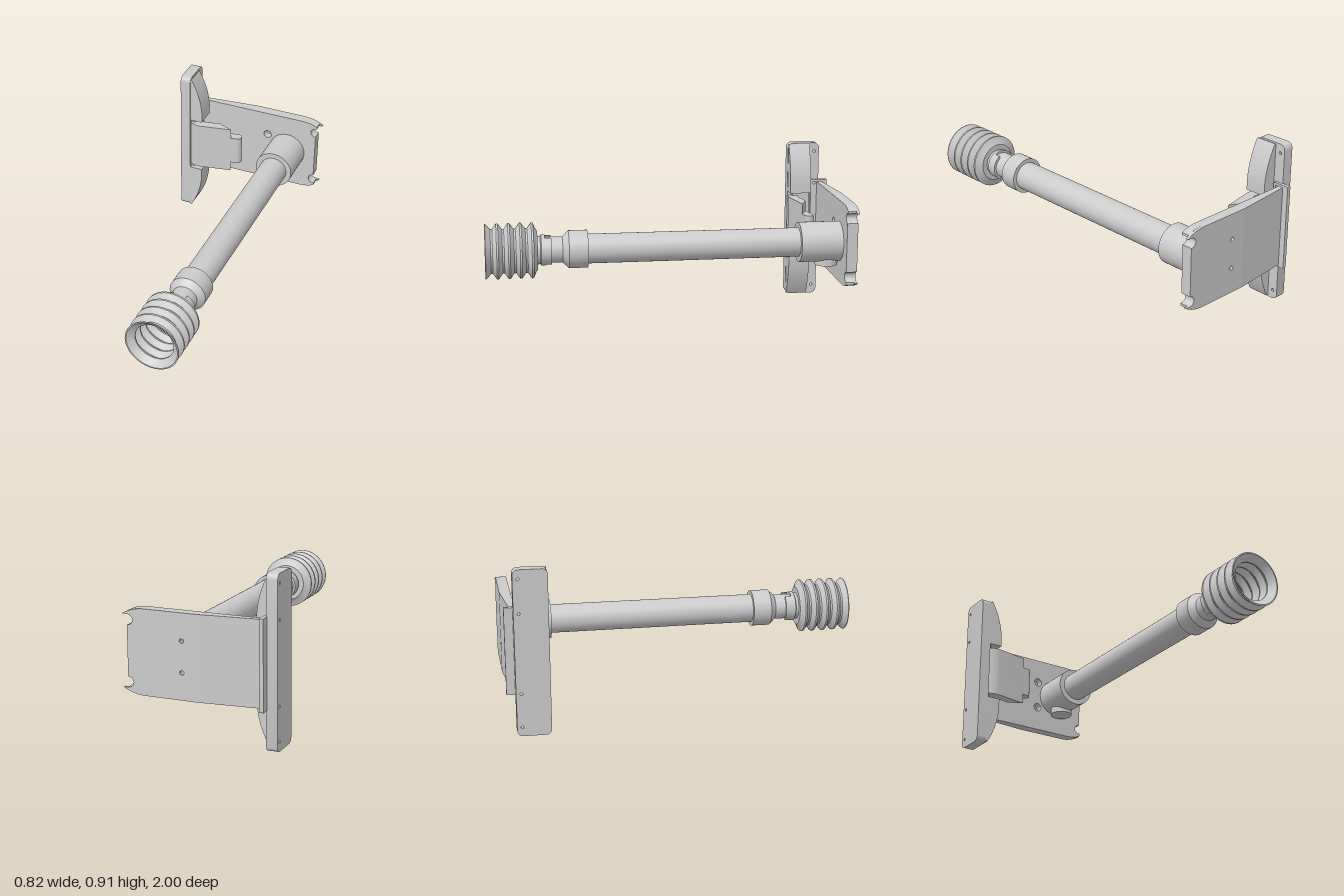
import * as THREE from 'three';
import { toCreasedNormals } from 'three/addons/utils/BufferGeometryUtils.js';

const AX = 0.21, MID = 0.4535; // pipe axis x, mid height
const material = new THREE.MeshStandardMaterial({ color: 0xcccccc, side: THREE.DoubleSide });
const v = (x, y) => new THREE.Vector2(x, y);

function addMesh(parent, name, geometry, crease = 0.5) {
  const mesh = new THREE.Mesh(toCreasedNormals(geometry, crease), material);
  mesh.name = name;
  parent.add(mesh);
  return mesh;
}

function circleHole(shape, x, y, r) {
  shape.holes.push(new THREE.Path().absarc(x, y, r, 0, Math.PI * 2, true));
}

const extrude = (shape, depth) =>
  new THREE.ExtrudeGeometry(shape, { depth, bevelEnabled: false, curveSegments: 16 });

// Extrude a front outline from z0 to z1
const extrudeZ = (shape, z0, z1) => extrude(shape, z1 - z0).translate(0, 0, z0);

// Extrude a side outline (z, y) from x0 to x1
const extrudeX = (shape, x0, x1) => extrude(shape, x1 - x0).rotateY(-Math.PI / 2).translate(x1, 0, 0);

// Extrude a plan outline (x, -z) from y0 to y1
const extrudeY = (shape, y0, y1) => extrude(shape, y1 - y0).rotateX(-Math.PI / 2).translate(0, y0, 0);

// Revolve [radius, z] points about the pipe axis
function revolve(points, start = 0, length = Math.PI * 2) {
  return new THREE.LatheGeometry(points.map(([r, z]) => v(r, z)), 48, start, length)
    .rotateX(Math.PI / 2).translate(AX, MID, 0);
}

function roundedRect(x0, y0, x1, y1, r) {
  const s = new THREE.Shape();
  s.absarc(x1 - r, y0 + r, r, -Math.PI / 2, 0);
  s.absarc(x1 - r, y1 - r, r, 0, Math.PI / 2);
  s.absarc(x0 + r, y1 - r, r, Math.PI / 2, Math.PI);
  s.absarc(x0 + r, y0 + r, r, Math.PI, Math.PI * 1.5);
  s.closePath();
  return s;
}

// Right half of the plate with clip notches; tip is how far the hooks reach
function plateOutline(tip, tipY, holeRadius) {
  const upper = [v(0, 0.68), v(0.3, 0.68)];
  const bend = new THREE.QuadraticBezierCurve(v(0.3, 0.68), v(0.362, 0.677), v(tip, tipY));
  upper.push(...bend.getPoints(8).slice(1));
  upper.push(v(tip, 0.645));
  for (let i = 0; i <= 12; i++) {
    const a = Math.PI * (0.5 + i / 12);
    upper.push(v(0.385 + 0.031 * Math.cos(a), 0.617 + 0.028 * Math.sin(a)));
  }
  const lower = upper.map((p) => v(p.x, 2 * MID - p.y)).reverse();
  const shape = new THREE.Shape([...upper, ...lower]);
  for (const s of [-1, 1]) circleHole(shape, 0.083, MID + s * 0.082, holeRadius);
  return shape;
}

function makePlate() {
  const plate = new THREE.Group();
  plate.name = 'mountingPlate';
  addMesh(plate, 'plateBackLayer', extrudeZ(plateOutline(0.41, 0.647, 0.012), -1, -0.985));
  addMesh(plate, 'plateFrontLayer', extrudeZ(plateOutline(0.39, 0.658, 0.024), -0.985, -0.94));
  // Half that thins toward the rail
  const taper = new THREE.Shape([v(0, 0.94), v(0, 1), v(-0.34, 0.967), v(-0.34, 0.94)]);
  addMesh(plate, 'plateTaper', extrudeY(taper, 2 * MID - 0.68, 0.68), 0.05);
  const rail = roundedRect(-1, 0.215, -0.905, 0.692, 0.004);
  for (const y of [0.235, 0.672]) circleHole(rail, -0.925, y, 0.008);
  addMesh(plate, 'plateRail', extrudeX(rail, -0.357, -0.335));
  return plate;
}

function makeHandle() {
  const handle = new THREE.Group();
  handle.name = 'sideBar';
  const spine = roundedRect(-0.953, 0, -0.77, 2 * MID, 0.03);
  for (const y of [0.05, 0.235, 0.672, 0.857]) circleHole(spine, -0.925, y, 0.008);
  addMesh(handle, 'barSpine', extrudeX(spine, -0.413, -0.352));
  // Curved wings above and below the lever slot
  for (const s of [-1, 1]) {
    const y = (d) => MID + s * d;
    const wing = new THREE.Shape();
    wing.moveTo(-0.353, y(0.17));
    wing.lineTo(-0.277, y(0.17));
    wing.lineTo(-0.277, y(0.23));
    wing.quadraticCurveTo(-0.285, y(0.345), -0.345, y(0.448));
    wing.lineTo(-0.353, y(0.445));
    wing.closePath();
    addMesh(handle, s > 0 ? 'upperWing' : 'lowerWing', extrudeZ(wing, -0.893, -0.772));
  }
  const block = new THREE.BoxGeometry(0.025, 0.342, 0.1).translate(-0.345, MID, -0.845);
  addMesh(handle, 'slotBlock', block);
  return handle;
}

function makeLever() {
  const lever = new THREE.Group();
  lever.name = 'lever';
  const flap = new THREE.Shape();
  flap.moveTo(-0.355, 0.83);
  flap.lineTo(-0.355, 0.785);
  flap.quadraticCurveTo(-0.315, 0.762, -0.285, 0.767);
  flap.lineTo(-0.1, 0.803);
  flap.lineTo(-0.185, 0.842);
  flap.lineTo(-0.29, 0.822);
  flap.closePath();
  addMesh(lever, 'leverFlap', extrudeY(flap, MID - 0.145, MID + 0.145));
  const tab = new THREE.Shape();
  tab.moveTo(-0.22, 0.835);
  tab.lineTo(-0.22, 0.78);
  tab.lineTo(-0.066, 0.809);
  tab.absarc(-0.07, 0.835, 0.0265, -1.38, 1.76, false);
  tab.closePath();
  addMesh(lever, 'leverTab', extrudeY(tab, MID - 0.086, MID + 0.086));
  return lever;
}

function makeArm() {
  const arm = new THREE.Group();
  arm.name = 'arm';
  addMesh(arm, 'socket', revolve([[0, -0.945], [0.11, -0.945], [0.11, -0.71], [0, -0.71]]));
  addMesh(arm, 'socketBoss',
    new THREE.CylinderGeometry(0.063, 0.063, 0.12, 32).translate(AX, 0.384, -0.87));
  addMesh(arm, 'pipe', revolve([[0.08, -0.72], [0.08, 0.46]]));
  addMesh(arm, 'collar', revolve([
    [0.075, 0.45], [0.102, 0.45], [0.102, 0.553], [0.07, 0.586], [0.07, 0.71], [0.03, 0.71],
  ]));
  addMesh(arm, 'clipRing', revolve([[0.068, 0.68], [0.083, 0.68], [0.083, 0.7], [0.076, 0.705], [0.076, 0.73]]));
  // Two clip jaws with gaps above and below
  for (const start of [Math.PI / 6, Math.PI * 7 / 6]) {
    addMesh(arm, 'clipJaw', revolve(
      [[0.068, 0.645], [0.083, 0.645], [0.083, 0.682], [0.068, 0.682], [0.068, 0.645]], start, Math.PI * 2 / 3));
  }
  return arm;
}

function makeBellows() {
  const pitch = 0.062;
  const outer = [[0.03, 0.72], [0.107, 0.72], [0.12, 0.73]];
  const inner = [];
  for (let i = 0; i < 4; i++) {
    const z = 0.747 + i * pitch;
    outer.push([0.15, z - 0.005], [0.15, z + 0.005], [0.12, z + 0.026], [0.12, z + 0.036]);
    inner.unshift([0.107, z + 0.035], [0.107, z + 0.027], [0.137, z + 0.004], [0.137, z - 0.004]);
  }
  outer.push([0.149, 0.996], [0.149, 1], [0.142, 1]);
  // Floor with the raised nozzle and its bore
  const floor = [[0.107, 0.732], [0.043, 0.732], [0.043, 0.76], [0.03, 0.76], [0.022, 0.75], [0.022, 0.6], [0, 0.6]];
  return addMesh(new THREE.Group(), 'bellows', revolve([...outer, ...inner, ...floor]));
}

export function createModel() {
  const model = new THREE.Group();
  model.name = 'wallArm';
  model.add(makePlate(), makeHandle(), makeLever(), makeArm(), makeBellows());
  return model;
}
